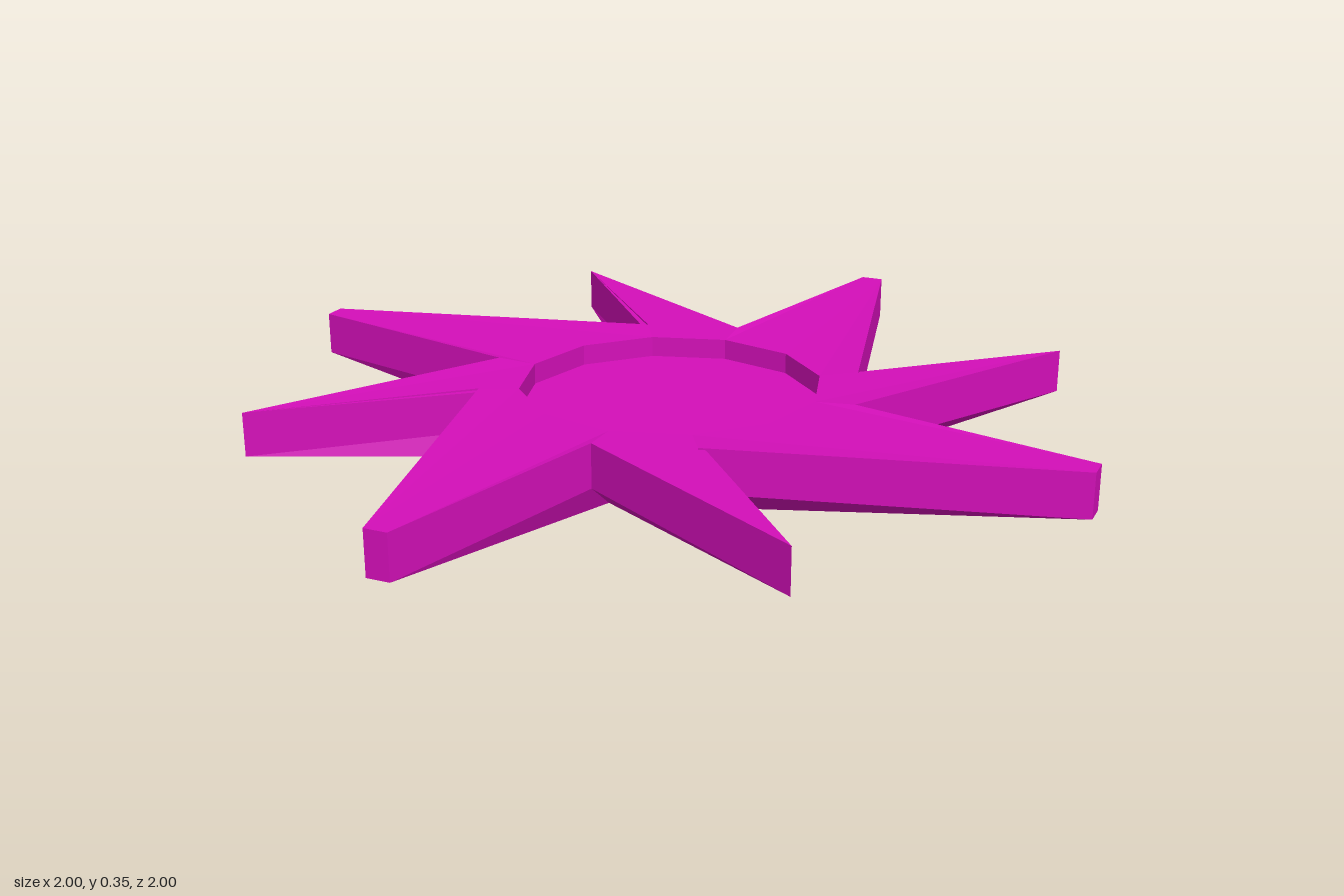
import * as THREE from 'three';

const TOP = 0.355, EDGE = 0.25, RIM = 0.35, FLOOR = 0.3, KNEE = 0.18, RADIUS = 0.357;

// One quarter of the star outline (x, z); the rest are quarter turns of it
const QUARTER = [
  [0.404, -0.9],    // 0 short point
  [0.39, -0.228],   // 1 notch
  [0.974, -0.385],  // 2 blunt tip of long point
  [1.0, -0.337],    // 3
  [0.39, 0.225],    // 4 notch
];
// Triangles joining outline (o) and hub ring (r) within a quarter
const WEB = [
  ['r0', 'o-1', 'o0'], ['r0', 'o0', 'r1'], ['r1', 'o0', 'o1'],
  ['r1', 'o1', 'o2'], ['r1', 'o2', 'r2'], ['r2', 'o2', 'o3'],
  ['r2', 'o3', 'r3'], ['r3', 'o3', 'o4'],
];

const outline = [];
for (let q = 0; q < 4; q++) {
  for (const [x, z] of QUARTER) {
    let p = [x, z];
    for (let k = 0; k < q; k++) p = [-p[1], p[0]];
    outline.push(p);
  }
}
const ring = Array.from({ length: 12 }, (_, i) => {
  const a = (i - 2) * Math.PI / 6;
  return [RADIUS * Math.cos(a), RADIUS * Math.sin(a)];
});

const at = ([x, z], y) => [x, y, z];

function makeMesh(name, triangles, material) {
  const geometry = new THREE.BufferGeometry();
  geometry.setAttribute('position', new THREE.Float32BufferAttribute(triangles.flat(2), 3));
  geometry.computeVertexNormals();
  const mesh = new THREE.Mesh(geometry, material);
  mesh.name = name;
  return mesh;
}

// Star face between outline and hub ring
function web(outerY, innerY, up) {
  const tris = [];
  for (let q = 0; q < 4; q++) {
    for (const keys of WEB) {
      const t = keys.map((key) => {
        const n = Number(key.slice(1));
        return key[0] === 'o'
          ? at(outline[(q * 5 + n + 20) % 20], outerY)
          : at(ring[(q * 3 + n) % 12], innerY);
      });
      tris.push(up ? t.reverse() : t);
    }
  }
  return tris;
}

// Vertical band around a loop
function band(loop, low, high, inward) {
  const tris = [];
  loop.forEach((p, i) => {
    const n = loop[(i + 1) % loop.length];
    const pair = [
      [at(p, low), at(p, high), at(n, high)],
      [at(p, low), at(n, high), at(n, low)],
    ];
    for (const t of pair) tris.push(inward ? t.reverse() : t);
  });
  return tris;
}

// Fan from the ring to a point on the axis
function fan(ringY, centreY, up) {
  return ring.map((p, i) => {
    const t = [[0, centreY, 0], at(p, ringY), at(ring[(i + 1) % 12], ringY)];
    return up ? t.reverse() : t;
  });
}

export function createModel() {
  const group = new THREE.Group();
  group.name = 'star';
  const material = new THREE.MeshStandardMaterial({ color: 0xd40fb9, flatShading: true });

  group.add(
    makeMesh('topFace', web(TOP, RIM, true), material),
    makeMesh('underside', web(EDGE, KNEE, false), material),
    makeMesh('outerEdge', band(outline, EDGE, TOP, false), material),
    makeMesh('recessWall', band(ring, FLOOR, RIM, true), material),
    makeMesh('recessFloor', fan(FLOOR, FLOOR, true), material),
    makeMesh('bottomCone', fan(KNEE, 0, false), material),
  );
  return group;
}
